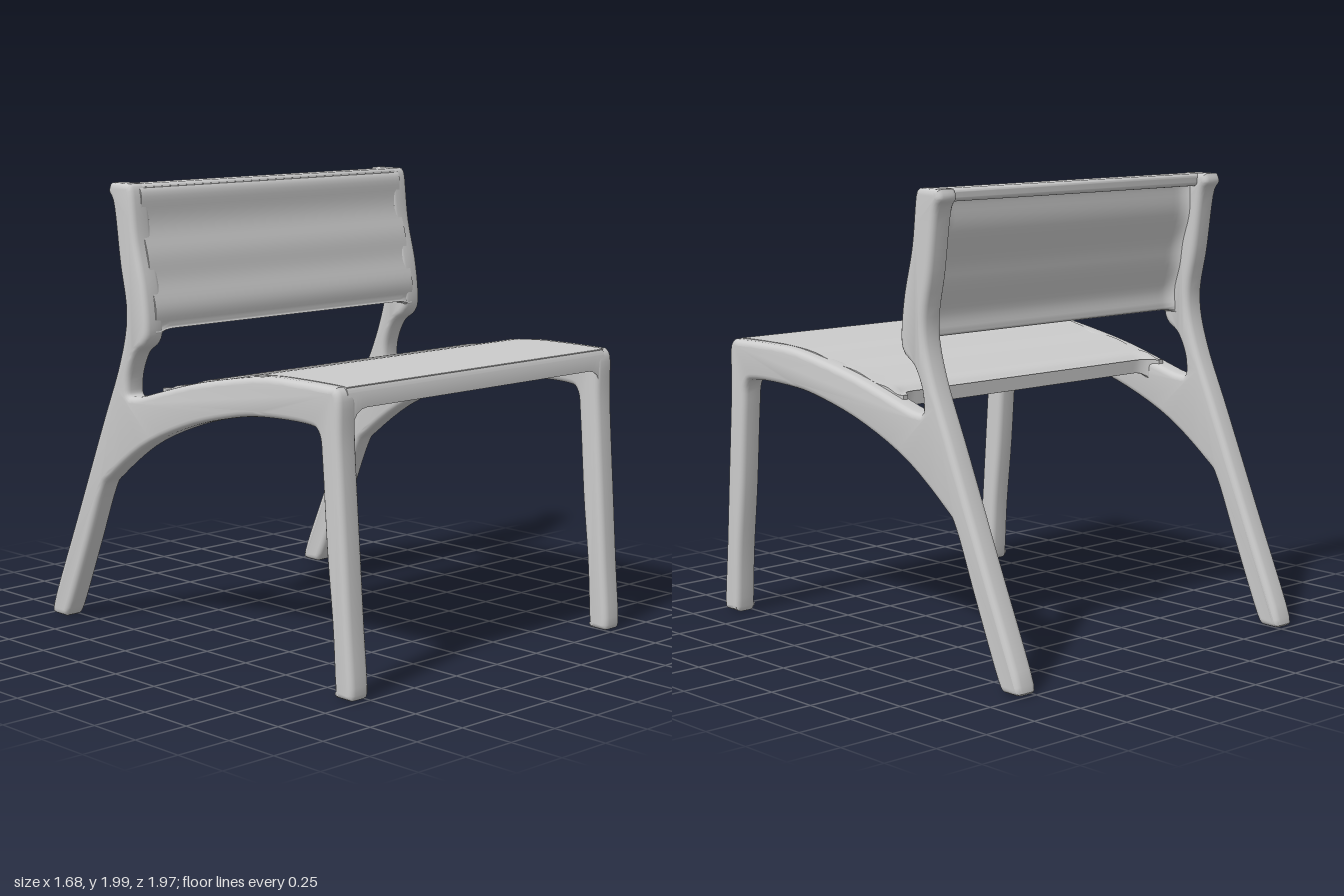
import * as THREE from 'three';
import { toCreasedNormals } from 'three/addons/utils/BufferGeometryUtils.js';
import { RoundedBoxGeometry } from 'three/addons/geometries/RoundedBoxGeometry.js';

const material = new THREE.MeshStandardMaterial({ color: 0xcccccc });
const vec = ([a, b]) => new THREE.Vector2(a, b);

function addMesh(group, name, geometry, crease = 0.7) {
  const mesh = new THREE.Mesh(toCreasedNormals(geometry, crease), material);
  mesh.name = name;
  group.add(mesh);
  return mesh;
}

// Side outline as (z, y) runs; each run is a smooth curve, runs meet at corners
const frontLegOuter = [[0.965, 0.01], [0.982, 0.05], [0.962, 0.3], [0.94, 0.6], [0.925, 0.8], [0.908, 1.05], [0.906, 1.22], [0.88, 1.265]];
const railTop = [[0.88, 1.265], [0.65, 1.268], [0.45, 1.262], [0.2, 1.222], [0, 1.18], [-0.2, 1.125], [-0.33, 1.088], [-0.4, 1.08]];
const postFront = [[-0.4, 1.08], [-0.414, 1.1], [-0.405, 1.18], [-0.36, 1.27], [-0.295, 1.32], [-0.275, 1.39], [-0.295, 1.56], [-0.345, 1.76], [-0.37, 1.96], [-0.39, 2]];
const postBack = [[-0.515, 2], [-0.527, 1.96], [-0.495, 1.9], [-0.46, 1.66], [-0.422, 1.44], [-0.47, 1.23], [-0.6, 0.935], [-0.79, 0.5], [-0.978, 0.07], [-0.965, 0.01]];
const rearLegInner = [[-0.895, 0.01], [-0.855, 0.06], [-0.72, 0.37], [-0.61, 0.63], [-0.54, 0.71], [-0.3, 0.875], [0, 1], [0.3, 1.075], [0.5, 1.097],
  [0.72, 1.098], [0.785, 1.07], [0.803, 0.95], [0.83, 0.6], [0.862, 0.3], [0.878, 0.04], [0.89, 0.01]];

// One extruded frame: front leg, curved rail, rear leg and back post
function frameGeometry(width) {
  const points = [];
  for (const run of [frontLegOuter, railTop, postFront, postBack, rearLegInner]) {
    const pts = new THREE.SplineCurve(run.map(vec)).getPoints(run.length * 4);
    for (const p of pts) {
      const q = new THREE.Vector2(-p.x, p.y);
      if (!points.length || points[points.length - 1].distanceTo(q) > 0.004) points.push(q);
    }
  }
  const bevel = 0.026;
  const g = new THREE.ExtrudeGeometry(new THREE.Shape(points), {
    depth: width - 2 * bevel, bevelThickness: bevel, bevelSize: bevel, bevelOffset: -bevel, bevelSegments: 4,
  });
  g.translate(0, 0, -g.boundingBox?.min.z || bevel - width / 2);
  return g.rotateY(Math.PI / 2);
}

// Curved slab following (z, y) points, with fillets where it meets the frames.
// openEnd (0 or 1) is the end that also flares into the frames.
function slabGeometry(profile, thickness, openEnd, ripple) {
  const half = 0.785, radius = 0.07;
  const curve = new THREE.SplineCurve(profile.map(vec));
  const g = new THREE.BoxGeometry(2 * half, 1, 1, 60, 1, 40);
  const p = g.attributes.position;
  for (let i = 0; i < p.count; i++) {
    const u = 0.5 - p.getZ(i);
    const d = THREE.MathUtils.clamp(Math.abs(p.getX(i)) - 0.75 + radius, 0, radius);
    const fillet = radius - Math.sqrt(radius * radius - d * d);
    const c = curve.getPoint(u);
    const flare = openEnd ? -fillet * u ** 10 : fillet * 0.4 * (1 - u) ** 10;
    const under = p.getY(i) < 0 ? thickness + fillet * 0.8 : 0;
    p.setXYZ(i, p.getX(i), c.y + ripple(u) - under, c.x + flare);
  }
  return g;
}

export function createModel() {
  const group = new THREE.Group();

  // Side frames
  for (const side of [-1, 1]) {
    const frame = addMesh(group, side > 0 ? 'leftFrame' : 'rightFrame', frameGeometry(0.105));
    frame.position.x = side * 0.788;
  }

  // Seat, front to rear, with shallow waves toward the rear
  const seatTop = [[0.905, 1.235], [0.895, 1.257], [0.87, 1.267], [0.65, 1.27], [0.45, 1.264], [0.2, 1.224], [0, 1.182], [-0.12, 1.15], [-0.165, 1.132]];
  addMesh(group, 'seat', slabGeometry(seatTop, 0.06, 1,
    (u) => 0.004 * Math.sin(u * 38) * THREE.MathUtils.smoothstep(u, 0.4, 0.6)));

  // Back panel, bottom to top, drawn lying down and then stood up
  const panelFront = [[-1.38, -0.284], [-1.4, -0.274], [-1.56, -0.294], [-1.76, -0.344], [-1.96, -0.37], [-1.985, -0.38]];
  const panel = slabGeometry(panelFront, 0.05, 0, (u) => 0.006 * Math.sin(u * 26));
  addMesh(group, 'backPanel', panel.rotateX(Math.PI / 2));

  // Top rail of the back
  const rail = addMesh(group, 'backTopRail', new RoundedBoxGeometry(1.56, 0.055, 0.1, 4, 0.018));
  rail.position.set(0, 1.971, -0.426);

  return group;
}
